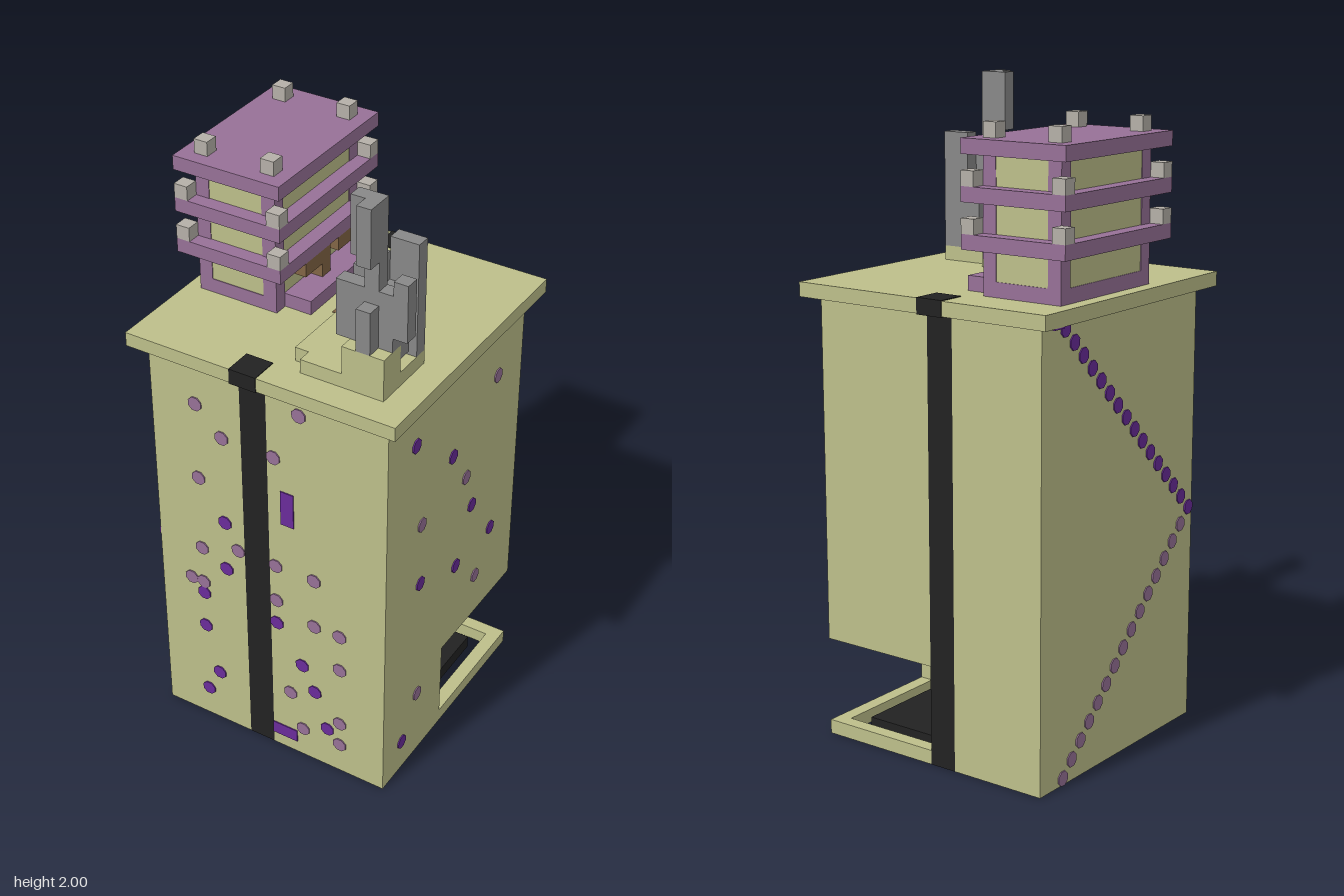
import * as THREE from 'three';

const U = 2 / 45; // one grid cell
const mat = (name, color) => {
  const m = new THREE.MeshStandardMaterial({ color });
  m.name = name;
  return m;
};

export function createModel() {
  const root = new THREE.Group();
  const khaki = mat('khaki', 0xbdbf8a), mauve = mat('mauve', 0x977197), violet = mat('violet', 0x6a2c9a);
  const black = mat('black', 0x222222), grey = mat('grey', 0x888888);
  const pale = mat('pale grey', 0xb5b0a8), brown = mat('brown', 0x826545);

  // Box given by its limits in grid cells
  const box = (name, m, x0, x1, y0, y1, z0, z1) => {
    const mesh = new THREE.Mesh(new THREE.BoxGeometry((x1 - x0) * U, (y1 - y0) * U, (z1 - z0) * U), m);
    mesh.position.set((x0 + x1) / 2 * U, (y0 + y1) / 2 * U, (z0 + z1) / 2 * U);
    mesh.name = name;
    root.add(mesh);
    return mesh;
  };

  // Hollow tower shell, open below, with a notch in one back corner
  box('frontWall', khaki, -9, -2, 0, 31, 8, 9);
  box('frontWall', khaki, 0, 9, 0, 31, 8, 9);
  box('leftWallFrontPart', khaki, 8, 9, 0, 31, 1, 8);
  box('leftWallAboveNotch', khaki, 8, 9, 7, 31, -8, 1);
  box('leftSill', khaki, 8, 9, 0, 1, -8, 1);
  box('rightWall', khaki, -9, -8, 0, 31, -8, 8);
  box('backWall', khaki, -9, -2, 0, 31, -9, -8);
  box('backWallAboveNotch', khaki, 0, 9, 7, 31, -9, -8);
  box('backSill', khaki, 0, 9, 0, 1, -9, -8);
  box('roofSlab', khaki, -10, 10, 31, 32, -10, 10);

  // Black bands running up the front and back and over the slab edge
  for (const s of [-1, 1]) {
    box('blackBand', black, -2, 0, 0, 31, s > 0 ? 8 : -9, s > 0 ? 9 : -8);
    box('bandCap', black, -2, 0, 30.95, 32.05, s > 0 ? 8 : -10.05, s > 0 ? 10.05 : -8);
  }

  // Notch room: floor pad, ceiling, hanging lattice, post
  box('floorPad', black, 0, 7, 0, 1, -7, 0.5);
  box('notchCeiling', black, 0, 8, 7, 8, -8, 1);
  for (const [x0, x1, z0, z1] of [[1, 6, -4, -3], [3, 4, -6, -4], [3, 4, -3, 0], [1, 2, -3, -1], [5, 6, -6, -4], [5, 6, -3, -2], [1, 2, -5, -4]])
    box('ceilingLattice', pale, x0, x1, 6, 7, z0, z1);
  box('centrePost', brown, 0, 1, 1, 32.05, 0, 1);

  // Eight-sided spots passing through the walls
  const spotGeo = new THREE.CylinderGeometry(0.54 * U, 0.54 * U, U + 0.008, 8);
  spotGeo.rotateY(Math.PI / 8);
  spotGeo.rotateX(Math.PI / 2);
  const spot = (m, wall, a, k) => {
    const mesh = new THREE.Mesh(spotGeo, m);
    mesh.name = wall + 'Spot';
    const p = (a + 0.5) * U, y = (k + 0.5) * U;
    if (wall === 'front') mesh.position.set(p, y, 8.5 * U);
    else {
      mesh.position.set((wall === 'left' ? 8.5 : -8.5) * U, y, p);
      mesh.rotation.y = Math.PI / 2;
    }
    root.add(mesh);
  };
  const spots = (m, wall, list) => list.forEach(([a, k]) => spot(m, wall, a, k));
  spots(mauve, 'front', [[-6, 27], [2, 29], [-4, 25], [0, 25], [-6, 21], [-6, 15], [-3, 16], [0, 16], [3, 16],
    [0, 13], [3, 12], [5, 12], [-7, 12], [-6, 12], [5, 9], [1, 5], [5, 4], [2, 2], [5, 2]]);
  spots(violet, 'front', [[-4, 18], [-4, 14], [-6, 11], [0, 11], [-6, 8], [2, 8], [3, 6], [-5, 4], [4, 3], [-6, 2]]);
  box('violetBar', violet, 1, 2, 20.3, 23, 7.92, 9.08);
  box('violetBar', violet, 0, 2, 1, 2, 7.92, 9.08);
  spots(violet, 'left', [[5, 27], [0, 23], [-3, 17], [4, 15], [-1, 13], [-6, 13], [6, 2]]);
  spots(mauve, 'left', [[-6, 26], [4, 20], [-2, 20], [-4, 10], [4, 5]]);

  // Zigzag of spots on the right wall
  for (let k = 0; k <= 14; k++) spot(mauve, 'right', k - 7, k);
  for (let k = 15; k <= 30; k++) spot(violet, 'right', 23 - k, k);
  box('zigzagEnd', violet, -10, -9, 30.9, 31.05, -9, -8);

  // Three-storey roof house
  box('houseCore', khaki, -8.95, -3.05, 32, 41, -6.95, 2.95);
  box('houseBase', mauve, -9, -3, 32, 33, -7, 3);
  for (const x of [-9, -4]) for (const z of [-7, 2]) {
    box('houseColumn', mauve, x, x + 1, 33, 41, z, z + 1);
    box('roofKnob', pale, x, x + 1, 42, 43, z, z + 1);
  }
  for (const y of [35, 38, 41]) {
    box('houseFloor', mauve, -10, -2, y, y + 1, -8, 4);
    if (y < 41) for (const x of [-10, -3]) for (const z of [-8, 3])
      box('cornerKnob', pale, x, x + 1, y + 1, y + 2, z, z + 1);
  }
  box('frontLintel', mauve, -7, -5, 34.4, 35, 2.9, 3.05);
  box('porch', mauve, -3, -1, 32, 33, -6, 2);
  box('awning', brown, -3, -2, 34, 35, -1, 1);
  box('awning', brown, -3, -2, 34, 35, -5, -3);
  box('door', brown, -3, -2, 33, 35, -2, -1);

  // Stepped plinth
  box('plinth', khaki, 1, 2, 32, 33, 1, 7);
  box('plinth', khaki, 2, 4, 32, 33, 2, 8);
  box('plinth', khaki, 4, 8, 32, 33, 3, 8);
  box('plinthBlock', khaki, 5, 8, 33, 35, 6, 8);

  // Cluster of grey pillars: cell x, cell z, bottom, top
  for (const [i, j, y0, y1] of [
    [6, 6, 35, 45], [5, 6, 41, 45], [6, 7, 41, 45], [6, 7, 35, 38], [5, 6, 35, 39], [7, 6, 35, 39],
    [8, 6, 36, 40], [4, 6, 35, 39], [5, 5, 34, 38], [6, 5, 33, 38], [7, 5, 34, 38],
    [4, 4, 35, 39], [5, 4, 33, 40], [6, 4, 33, 38], [5, 3, 33, 38], [6, 3, 33, 41], [7, 3, 33, 41]])
    box('greyPillar', grey, i, i + 1, y0, y1, j, j + 1);

  return root;
}
